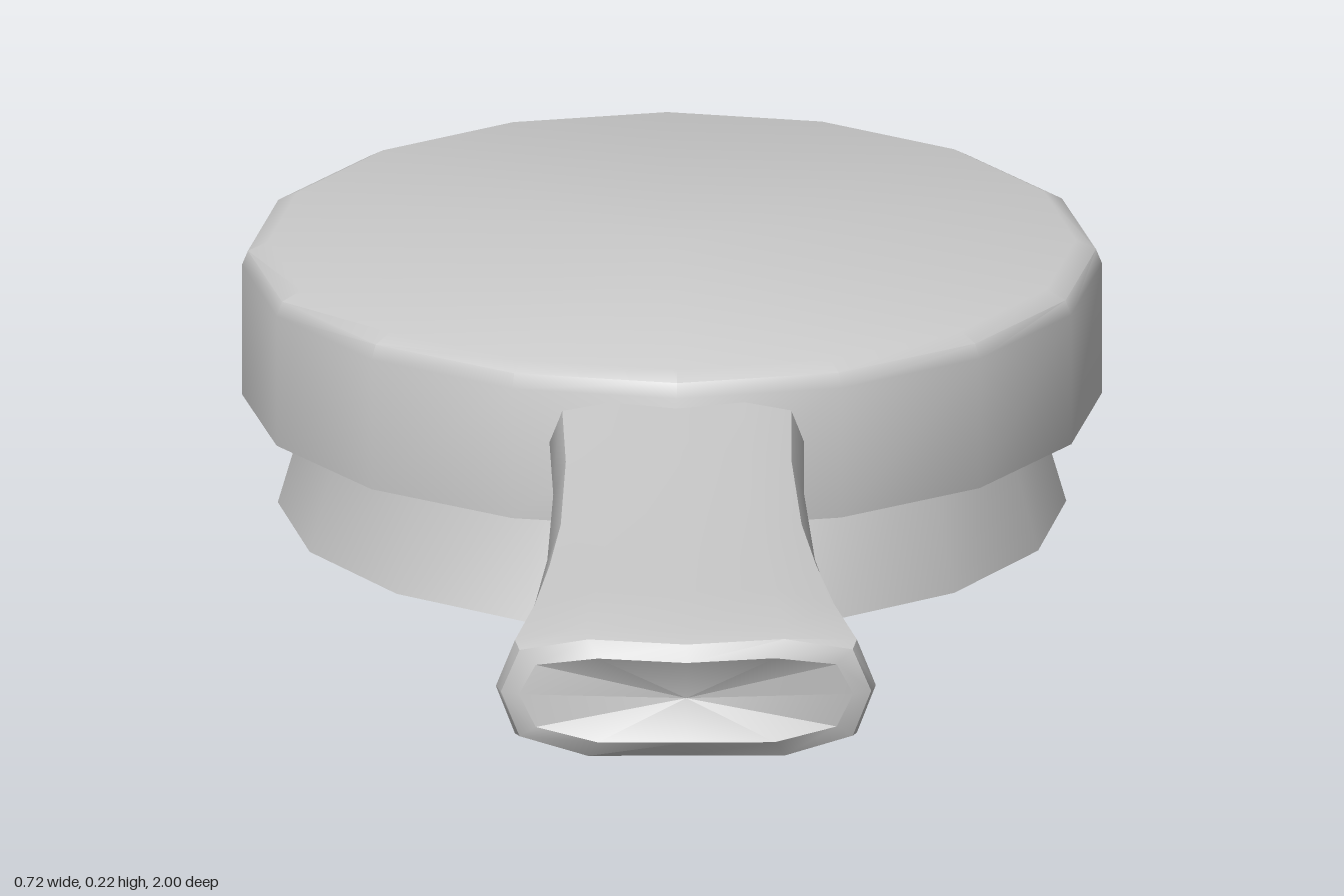
import * as THREE from 'three';
import { toCreasedNormals } from 'three/addons/utils/BufferGeometryUtils.js';

const SIDES = 16;

// Oval stack of [rx, rz, y] rings, centred on z = cz, closed at both ends
function ovalStack(rings, cz) {
  return loft(rings.map(([rx, rz, y]) => Array.from({ length: SIDES }, (_, i) => {
    const a = (i / SIDES) * Math.PI * 2;
    return [Math.sin(a) * rx, y, cz + Math.cos(a) * rz];
  })));
}

// Skin a list of equal-sized rings and close the ends with fans
function loft(rings) {
  const n = rings[0].length;
  const pos = rings.flat(2);
  const index = [];
  for (let r = 0; r < rings.length - 1; r++) {
    for (let i = 0; i < n; i++) {
      const a = r * n + i, b = r * n + (i + 1) % n;
      index.push(a, b, b + n, a, b + n, a + n);
    }
  }
  const cap = (r, flip) => {
    const c = pos.length / 3;
    for (let k = 0; k < 3; k++) pos.push(rings[r].reduce((s, p) => s + p[k], 0) / n);
    for (let i = 0; i < n; i++) {
      const a = r * n + i, b = r * n + (i + 1) % n;
      index.push(c, ...(flip ? [b, a] : [a, b]));
    }
  };
  cap(0, true);
  cap(rings.length - 1, false);
  const g = new THREE.BufferGeometry();
  g.setAttribute('position', new THREE.Float32BufferAttribute(pos, 3));
  g.setIndex(index);
  return toCreasedNormals(g, 0.75);
}

export function createModel() {
  const group = new THREE.Group();
  const material = new THREE.MeshStandardMaterial({ color: 0xcccccc });
  const add = (name, geometry) => {
    const mesh = new THREE.Mesh(geometry, material);
    mesh.name = name;
    group.add(mesh);
  };

  // Oval head with a softened top edge
  add('head', ovalStack([
    [0.36, 0.515, 0.092], [0.36, 0.515, 0.203],
    [0.355, 0.509, 0.215], [0.338, 0.492, 0.223],
  ], -0.485));

  // Flared block under the head
  add('bristleBlock', ovalStack([[0.33, 0.497, 0], [0.302, 0.46, 0.094]], -0.482));

  // Handle: flattened section, widening towards a bowed, rounded end
  const section = [
    [1, 0], [0.9, 0.74], [0.53, 1], [0, 0.95], [-0.53, 1], [-0.9, 0.74],
    [-1, 0], [-0.9, -0.74], [-0.53, -1], [0, -0.95], [0.53, -1], [-0.9, -0.74],
  ];
  section[11] = [0.9, -0.74];
  // z, half width, half height, forward bow in the middle
  const stations = [
    [-0.06, 0.107, 0.037, 0], [0.2, 0.105, 0.038, 0], [0.45, 0.112, 0.041, 0],
    [0.62, 0.124, 0.045, 0], [0.78, 0.139, 0.049, 0], [0.93, 0.159, 0.054, 0.02],
    [0.952, 0.155, 0.05, 0.034], [0.963, 0.14, 0.036, 0.034],
  ];
  add('handle', loft(stations.map(([z, w, h, bow]) =>
    section.map(([u, v]) => [u * w, 0.159 + v * h, z + bow * (1 - u * u)]))));

  return group;
}
